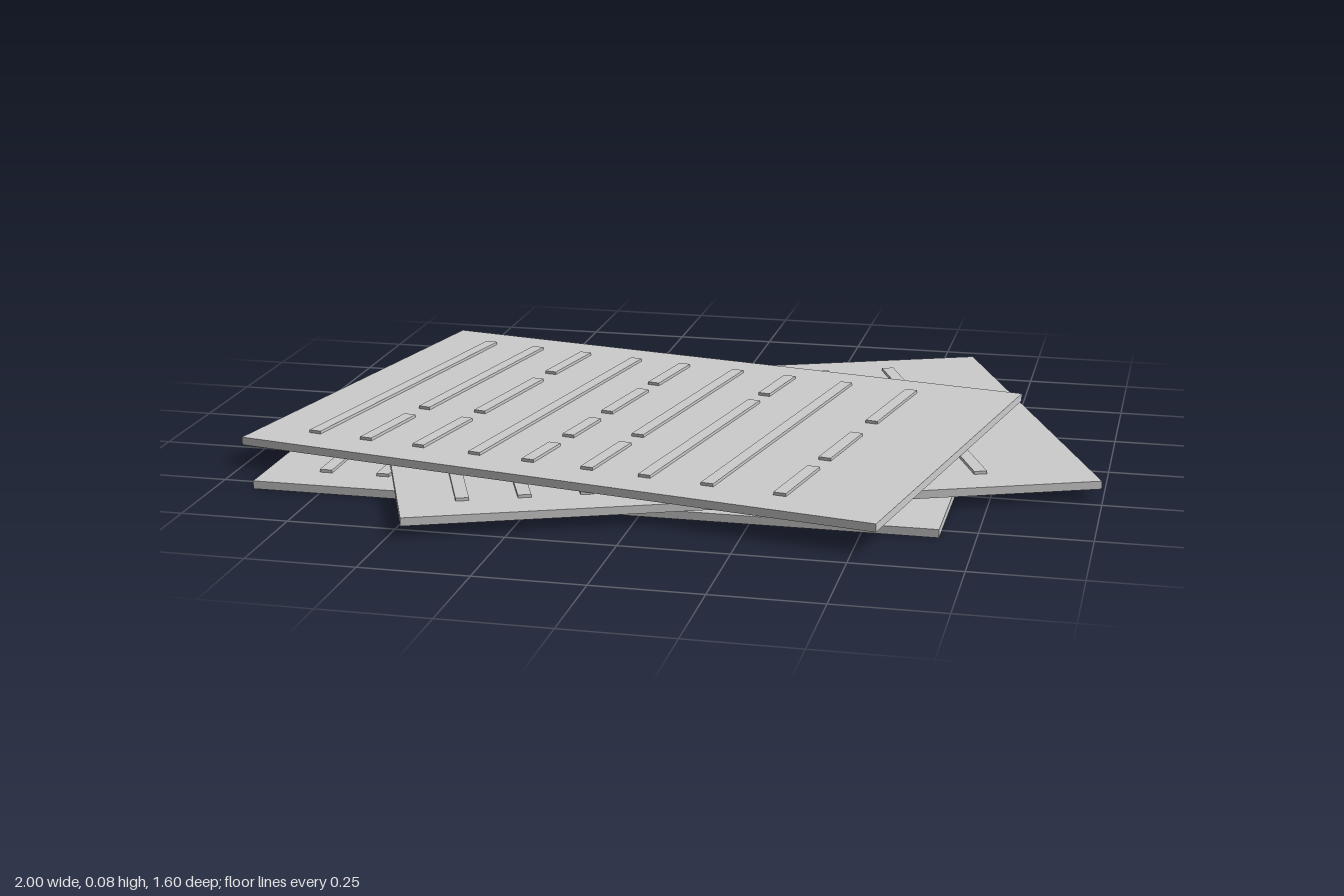
import * as THREE from 'three';

const WIDTH = 1.58, DEPTH = 1.09, THICK = 0.019, STEP = 0.0258;
const BAR_WIDTH = 0.03, BAR_HEIGHT = 0.007;

// Raised strips on a sheet: column position across it, then [start, end] spans along it
const COLUMNS = [
  [-0.648, [[-0.447, 0.45]]],
  [-0.51, [[-0.447, 0.17], [0.24, 0.45]]],
  [-0.37, [[-0.447, -0.24], [-0.17, 0.146], [0.21, 0.45]]],
  [-0.223, [[-0.447, 0.45]]],
  [-0.085, [[-0.447, -0.25], [-0.186, 0.026], [0.09, 0.24], [0.31, 0.45]]],
  [0.064, [[-0.447, 0.173], [0.24, 0.45]]],
  [0.207, [[-0.447, -0.27], [-0.205, 0.45]]],
  [0.36, [[-0.447, 0.45]]],
  [0.533, [[-0.447, -0.15], [-0.045, 0.17], [0.24, 0.45]]],
];

const material = new THREE.MeshStandardMaterial({ color: 0xcccccc, flatShading: true });

// Box standing on height y
function box(name, w, h, d, x, y, z) {
  const mesh = new THREE.Mesh(new THREE.BoxGeometry(w, h, d), material);
  mesh.name = name;
  mesh.position.set(x, y + h / 2, z);
  return mesh;
}

// One sheet with its rows of raised strips
function makeSheet(name) {
  const sheet = new THREE.Group();
  sheet.name = name;
  sheet.add(box('page', WIDTH, THICK, DEPTH, 0, 0, 0));
  for (const [x, spans] of COLUMNS) {
    for (const [a, b] of spans) {
      sheet.add(box('textLine', BAR_WIDTH, BAR_HEIGHT, b - a, x, THICK, (a + b) / 2));
    }
  }
  return sheet;
}

export function createModel() {
  const model = new THREE.Group();
  model.name = 'paperStack';
  // Sheets fanned over each other: name, x, z, turn
  const sheets = [
    ['bottomSheet', -0.12, 0.005, 0],
    ['middleSheet', 0.06, 0, 0.382],
    ['topSheet', -0.12, 0.006, -0.191],
  ];
  sheets.forEach(([name, x, z, turn], i) => {
    const sheet = makeSheet(name);
    sheet.position.set(x, i * STEP, z);
    sheet.rotation.y = turn;
    model.add(sheet);
  });
  return model;
}
